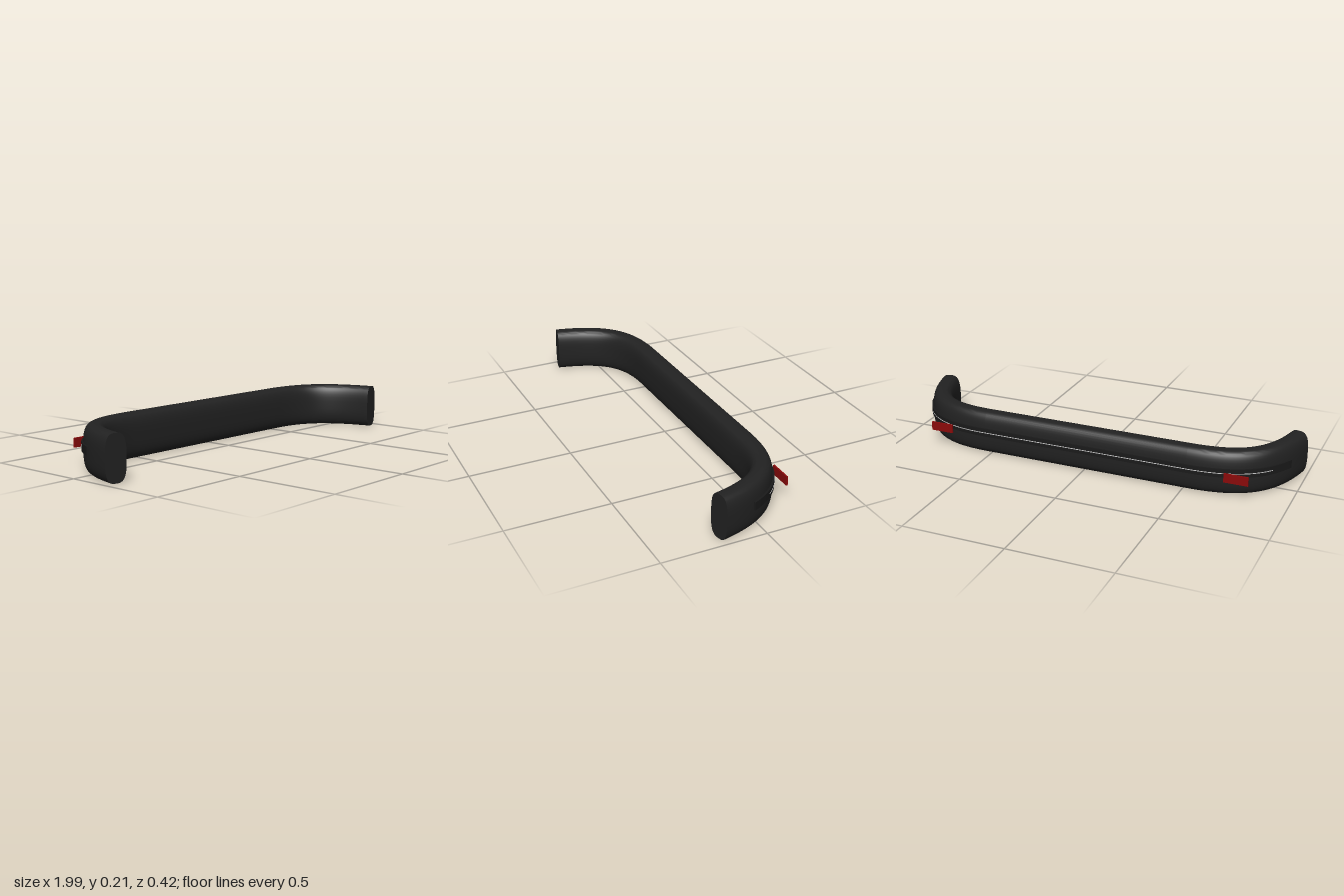
import * as THREE from 'three';
import { toCreasedNormals } from 'three/addons/utils/BufferGeometryUtils.js';

const MID_Y = 0.1075;

// Centre line of the wrap-around end, in the ground plane (x, z)
const corner = new THREE.CubicBezierCurve(
  new THREE.Vector2(0.52, -0.148), new THREE.Vector2(0.78, -0.148),
  new THREE.Vector2(0.89, -0.05), new THREE.Vector2(0.943, 0.203));

// Stations along the bumper: position and outward normal, mirrored left and right
function stations(tMax, steps = 28) {
  const right = [];
  for (let i = 0; i <= steps; i++) {
    const t = tMax * i / steps;
    const p = corner.getPoint(t), d = corner.getTangent(t);
    right.push({ x: p.x, z: p.y, nx: d.y, nz: -d.x });
  }
  const left = right.map(s => ({ x: -s.x, z: s.z, nx: -s.nx, nz: s.nz })).reverse();
  return [...left, ...right];
}

// Sweep a closed section of [outward offset, height] along the bumper, with end caps
function sweep(section, tMax) {
  const path = stations(tMax), n = section.length, pos = [], idx = [];
  for (const s of path) {
    for (const [o, y] of section) pos.push(s.x + s.nx * o, y, s.z + s.nz * o);
  }
  for (let i = 0; i < path.length - 1; i++) {
    for (let j = 0; j < n; j++) {
      const a = i * n + j, b = i * n + (j + 1) % n;
      idx.push(a, b, b + n, a, b + n, a + n);
    }
  }
  const last = (path.length - 1) * n;
  for (let j = 1; j < n - 1; j++) {
    idx.push(0, j + 1, j, last, last + j, last + j + 1);
  }
  const geo = new THREE.BufferGeometry();
  geo.setAttribute('position', new THREE.Float32BufferAttribute(pos, 3));
  geo.setIndex(idx);
  return toCreasedNormals(geo, 0.6);
}

// Barrel-sided rounded section for the main bar
function barSection(halfDepth, halfHeight, power, count = 40) {
  const bend = v => Math.sign(v) * Math.pow(Math.abs(v), 2 / power);
  return Array.from({ length: count }, (_, i) => {
    const a = (i + 0.5) / count * Math.PI * 2;
    return [halfDepth * bend(Math.cos(a)), MID_Y + halfHeight * bend(Math.sin(a))];
  });
}

const bandSection = (o0, o1, y0, y1) => [[o0, y0], [o1, y0], [o1, y1], [o0, y1]];

export function createModel() {
  const group = new THREE.Group();
  const material = (name, color) => new THREE.MeshStandardMaterial({ name, color });
  const black = material('black plastic', 0x222222);
  const trim = material('dark rubber', 0x1a1a1a);
  const silver = material('silver', 0xc8c8c8);
  const red = material('reflector red', 0x8b0a0a);

  const add = (name, geo, mat) => {
    const mesh = new THREE.Mesh(geo, mat);
    mesh.name = name;
    group.add(mesh);
    return mesh;
  };

  // Main bar
  add('bumperBar', sweep(barSection(0.0525, 0.1075, 3.1), 1), black);

  // Raised rubbing strip and the fine bright line along it
  add('rubbingStrip', sweep(bandSection(0.045, 0.0605, 0.098, 0.138), 0.785), trim);
  add('brightLine', sweep(bandSection(0.058, 0.062, 0.1163, 0.1197), 0.6), silver);

  // Flat rear reflectors
  for (const side of [-1, 1]) {
    const name = side > 0 ? 'leftReflector' : 'rightReflector';
    add(name, new THREE.BoxGeometry(0.116, 0.044, 0.008), red)
      .position.set(side * 0.76, 0.105, -0.202);
  }
  return group;
}
